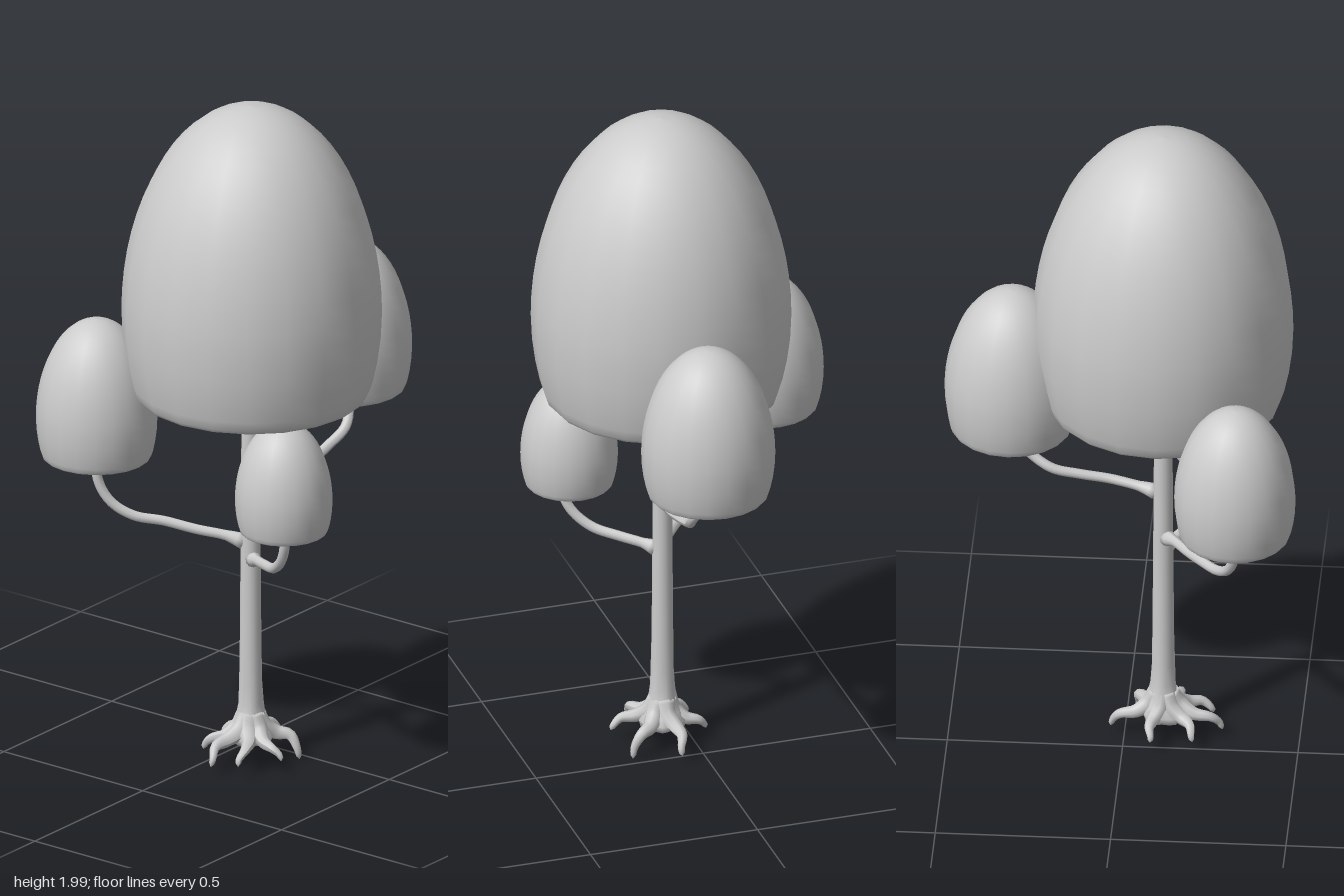
import * as THREE from 'three';

const material = new THREE.MeshStandardMaterial({ color: 0xcccccc });
const V = (p) => new THREE.Vector3(...p);
const TRUNK = { x: 0.086, z: 0.11 };

// Round tube along points whose radius follows radiusAt(t), with closed ends
function taperedTube(name, points, radiusAt, segments = 24, sides = 10) {
  const curve = new THREE.CatmullRomCurve3(points.map(V));
  const geometry = new THREE.TubeGeometry(curve, segments, 1, sides, false);
  const pos = geometry.attributes.position;
  const v = new THREE.Vector3();
  for (let i = 0; i <= segments; i++) {
    const centre = curve.getPointAt(i / segments);
    const end = i === 0 || i === segments;
    for (let j = 0; j <= sides; j++) {
      const k = i * (sides + 1) + j;
      v.fromBufferAttribute(pos, k).sub(centre);
      v.multiplyScalar(end ? 0.0005 : radiusAt(i / segments)).add(centre);
      pos.setXYZ(k, v.x, v.y, v.z);
    }
  }
  geometry.computeVertexNormals();
  const mesh = new THREE.Mesh(geometry, material);
  mesh.name = name;
  return mesh;
}

// Egg-shaped crown: flat underside, rounded rim, elliptical dome
function crown(name, x, z, bottom, top, radius) {
  const h = top - bottom;
  const profile = [[0, 0], [0.45, 0], [0.84, 0], [0.875, 0.004], [0.905, 0.018], [0.93, 0.05], [0.965, 0.12], [0.99, 0.2]];
  for (let i = 0; i <= 16; i++) {
    const a = (i / 16) * Math.PI / 2;
    profile.push([Math.cos(a), 0.29 + 0.71 * Math.sin(a)]);
  }
  const points = profile.map(([r, y]) => new THREE.Vector2(Math.max(0, r * radius), y * h));
  const mesh = new THREE.Mesh(new THREE.LatheGeometry(points, 20), material);
  mesh.position.set(x, bottom, z);
  mesh.name = name;
  return mesh;
}

// Trunk with a knotty flare toward the foot
function trunk() {
  const profile = [[0, 0.065], [0.06, 0.065], [0.065, 0.085], [0.052, 0.11], [0.042, 0.14], [0.036, 0.18], [0.033, 0.24],
    [0.031, 0.35], [0.029, 0.6], [0.027, 0.9], [0.025, 1.15], [0, 1.15]];
  const geometry = new THREE.LatheGeometry(profile.map(([r, y]) => new THREE.Vector2(r, y)), 20);
  const pos = geometry.attributes.position;
  for (let i = 0; i < pos.count; i++) {
    const y = pos.getY(i);
    if (y > 0.3) continue;
    const a = Math.atan2(pos.getZ(i), pos.getX(i));
    const s = 1 + 0.13 * Math.sin(5 * a + y * 25) * (1 - y / 0.3);
    pos.setXYZ(i, pos.getX(i) * s, y, pos.getZ(i) * s);
  }
  geometry.computeVertexNormals();
  const mesh = new THREE.Mesh(geometry, material);
  mesh.position.set(TRUNK.x, 0, TRUNK.z);
  mesh.name = 'trunk';
  return mesh;
}

// Claw-like root that leaves the trunk, runs outward and bends down at the tip
function root([x, y, z], i) {
  const dx = x - TRUNK.x, dz = z - TRUNK.z;
  const at = (t, h, bend = 0) => [TRUNK.x + dx * t - dz * bend, h, TRUNK.z + dz * t + dx * bend];
  const bend = i % 2 ? 0.08 : -0.08;
  const path = [at(0.06, 0.15), at(0.26, 0.108), at(0.52, 0.085, bend), at(0.8, 0.078, bend), at(0.95, (y + 0.075) / 2), at(1, y)];
  return taperedTube('root' + (i + 1), path, (t) => 0.026 * (1 - t) + 0.007, 20, 8);
}

export function createModel() {
  const tree = new THREE.Group();
  tree.name = 'tree';
  tree.add(trunk());

  // Roots
  const tips = [[0.2, 0.008, 0.03], [0.228, 0.045, 0.15], [0.15, 0.04, 0.25], [0.075, 0.03, 0.28],
    [-0.015, 0.04, 0.2], [-0.035, 0.045, 0.08], [0.075, 0.03, -0.04]];
  const roots = new THREE.Group();
  roots.name = 'roots';
  tips.forEach((tip, i) => roots.add(root(tip, i)));
  tree.add(roots);

  // Branches, slightly thicker where they join the trunk
  const branchRadius = (t) => 0.0145 + 0.012 * Math.max(0, 1 - t / 0.12);
  tree.add(
    taperedTube('rightBranch', [[0.08, 0.665, 0.115], [0.03, 0.685, 0.145], [-0.05, 0.7, 0.19], [-0.13, 0.72, 0.235], [-0.2, 0.735, 0.285],
      [-0.255, 0.775, 0.32], [-0.287, 0.84, 0.338], [-0.29, 0.94, 0.34]], branchRadius, 36),
    taperedTube('leftBranch', [[0.095, 0.62, 0.115], [0.13, 0.632, 0.14], [0.19, 0.645, 0.18], [0.26, 0.665, 0.225],
      [0.31, 0.71, 0.255], [0.333, 0.765, 0.27], [0.333, 0.84, 0.272]], branchRadius, 32),
    taperedTube('backBranch', [[0.09, 0.805, 0.1], [0.1, 0.815, 0.06], [0.118, 0.83, -0.04], [0.115, 0.845, -0.13], [0.11, 0.865, -0.21],
      [0.125, 0.91, -0.28], [0.112, 0.96, -0.313], [0.1, 1.05, -0.32]], branchRadius, 36),
  );

  // Crowns
  tree.add(
    crown('mainCrown', 0.09, 0.11, 1.12, 2.0, 0.371),
    crown('rightCrown', -0.29, 0.34, 0.91, 1.33, 0.173),
    crown('backCrown', 0.09, -0.323, 1.01, 1.47, 0.191),
    crown('leftCrown', 0.318, 0.255, 0.8, 1.135, 0.139),
  );
  return tree;
}
